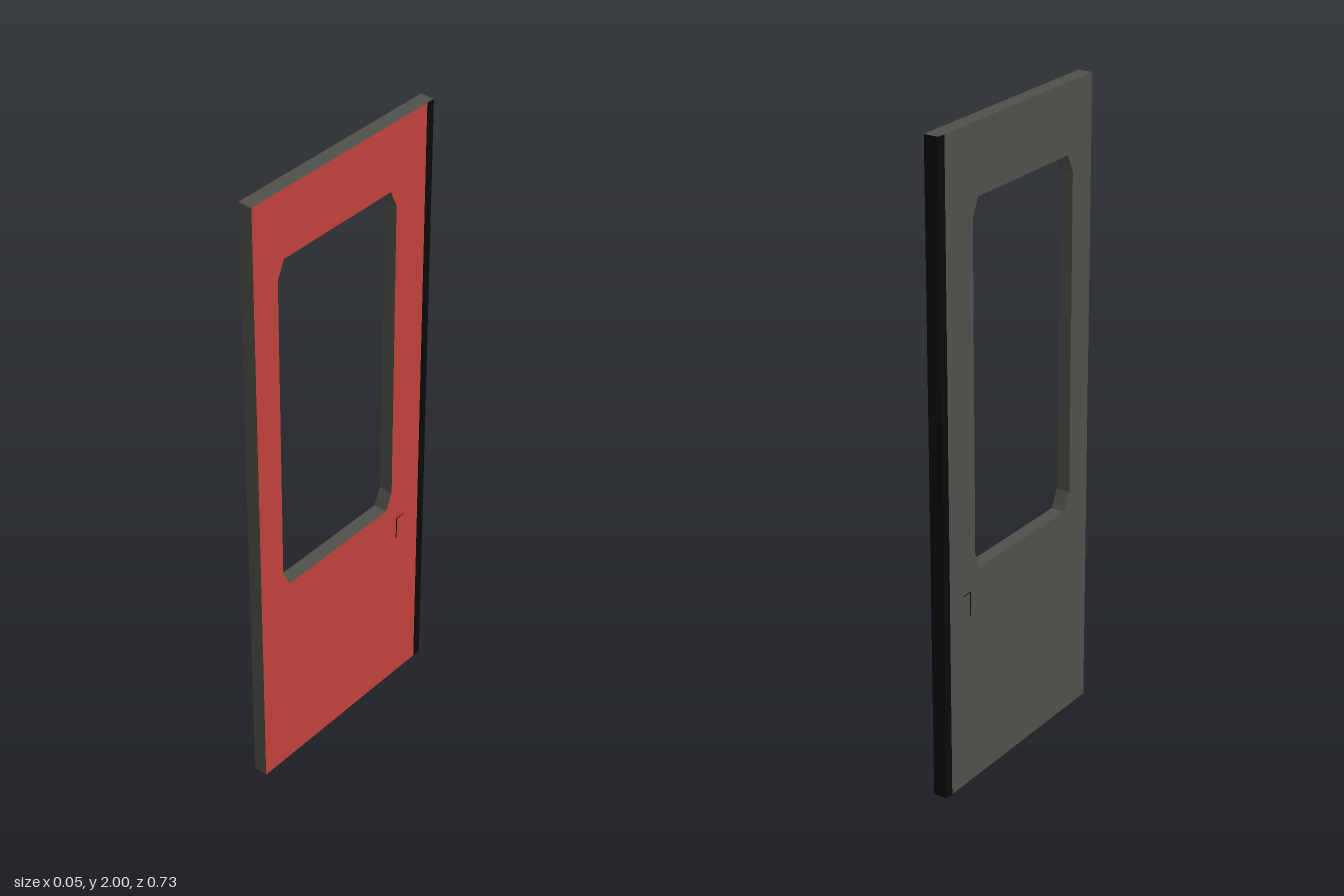
import * as THREE from 'three';

const T = 0.045;      // panel thickness
const HALF = 0.363;   // half the door width
const SEAM = 0.335;   // where the dark edge strip begins

function material(name, color) {
  const m = new THREE.MeshStandardMaterial({ color });
  m.name = name;
  return m;
}

export function createModel() {
  const red = material('red paint', 0xc0413b);
  const grey = material('dark grey', 0x50504a);
  const black = material('black', 0x0b0b0b);
  const door = new THREE.Group();
  door.name = 'door';

  // Door leaf outline, drawn with u = -z and v = y
  const outline = new THREE.Shape([
    [-HALF, 0], [SEAM, 0], [SEAM, 2], [-HALF, 2],
  ].map(([u, v]) => new THREE.Vector2(u, v)));

  // Window opening with cut corners
  const [u0, u1, v0, v1, cu, cv] = [-0.27, 0.212, 0.682, 1.79, 0.025, 0.055];
  outline.holes.push(new THREE.Path([
    [u0 + cu, v0], [u0, v0 + cv], [u0, v1 - cv], [u0 + cu, v1],
    [u1 - cu, v1], [u1, v1 - cv], [u1, v0 + cv], [u1 - cu, v0],
  ].map(([u, v]) => new THREE.Vector2(u, v))));

  const leaf = new THREE.ExtrudeGeometry(outline, { depth: T, bevelEnabled: false });
  leaf.translate(0, 0, -T / 2);
  leaf.rotateY(Math.PI / 2);

  // Inner face and edges grey, outer face red
  const [caps, sides] = leaf.groups.map((g) => ({ ...g }));
  leaf.clearGroups();
  leaf.addGroup(caps.start, caps.count / 2, 0);
  leaf.addGroup(caps.start + caps.count / 2, caps.count / 2, 1);
  leaf.addGroup(sides.start, sides.count, 0);
  const panel = new THREE.Mesh(leaf, [grey, red]);
  panel.name = 'doorPanel';
  door.add(panel);

  // Dark sealing strip along the rear edge, with grey ends
  const strip = new THREE.Mesh(
    new THREE.BoxGeometry(T, 2, HALF - SEAM),
    [black, black, grey, grey, black, black],
  );
  strip.name = 'edgeStrip';
  strip.position.set(0, 1, -(HALF + SEAM) / 2);
  door.add(strip);

  // Fine handle grooves on both faces
  for (const side of [1, -1]) {
    const handle = new THREE.Group();
    handle.name = side > 0 ? 'outerHandle' : 'innerHandle';
    const upright = new THREE.Mesh(new THREE.BoxGeometry(0.001, 0.075, 0.004), black);
    upright.name = 'handleUpright';
    upright.position.set(side * T / 2, 0.587, -0.237);
    const bar = new THREE.Mesh(new THREE.BoxGeometry(0.001, 0.003, 0.033), black);
    bar.name = 'handleBar';
    bar.position.set(side * T / 2, 0.624, -0.252);
    handle.add(upright, bar);
    door.add(handle);
  }
  return door;
}
